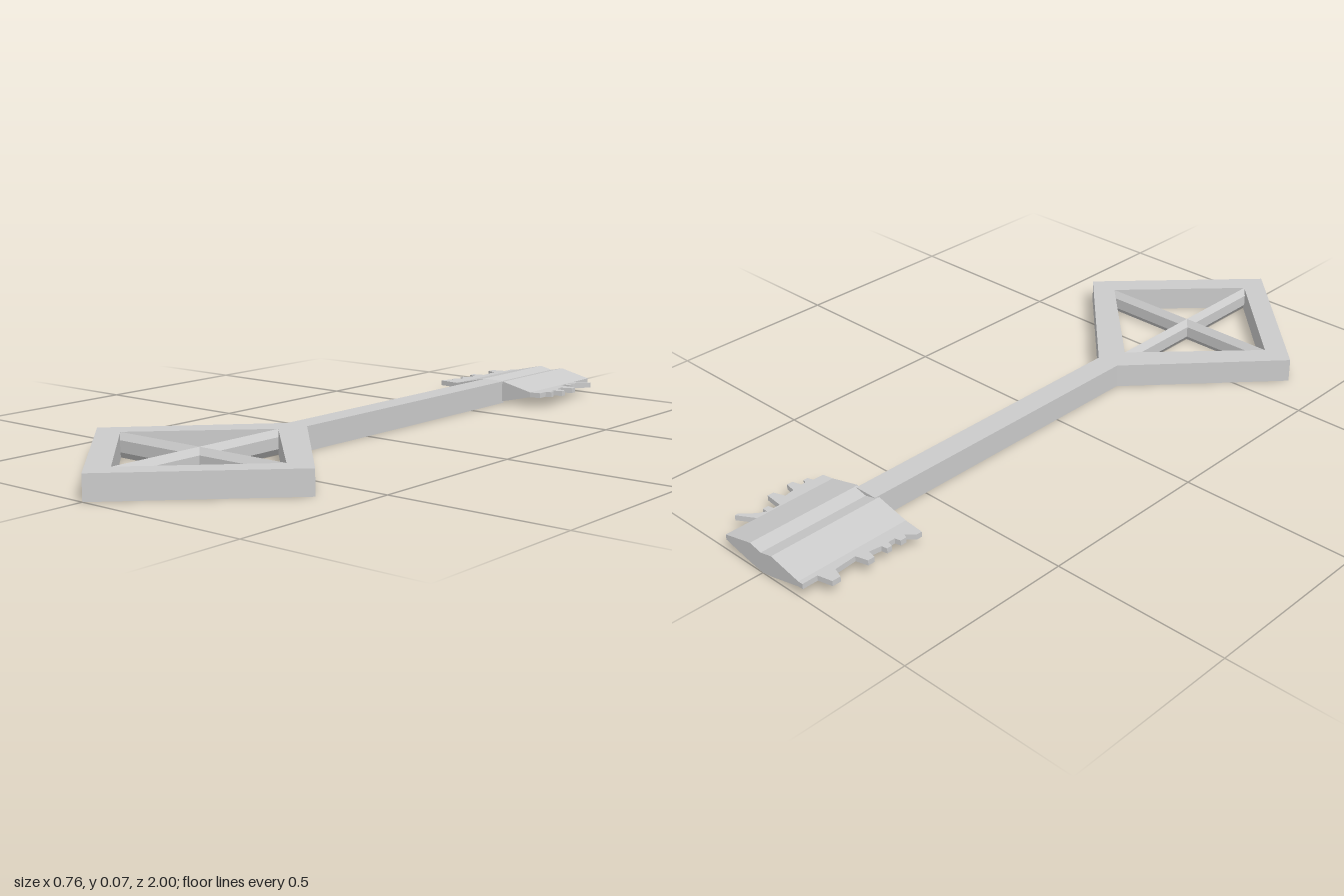
import * as THREE from 'three';

const H = 0.068; // overall thickness
const CZ = 0.62; // centre of the diamond handle
const material = new THREE.MeshStandardMaterial({ color: 0xcccccc, flatShading: true });

const shapeOf = (pts) => new THREE.Shape(pts.map(([x, z]) => new THREE.Vector2(x, z)));

// Extrude an x-z outline so that it lies flat from y = 0 to y = height
function slab(shape, height) {
  const g = new THREE.ExtrudeGeometry(shape, { depth: height, bevelEnabled: false });
  g.rotateX(Math.PI / 2);
  g.translate(0, height, 0);
  return g;
}

function add(group, name, geometry) {
  const mesh = new THREE.Mesh(geometry, material);
  mesh.name = name;
  group.add(mesh);
  return mesh;
}

// Blade cross-section: [distance from the middle, underside y, top y]
const SECTION = [[0, 0, 0.059], [0.04, 0.007, H], [0.138, 0.03, 0.045], [0.25, 0.03, 0.045]];

function sectionAt(x) {
  const d = Math.abs(x);
  let i = 0;
  while (i < SECTION.length - 2 && d > SECTION[i + 1][0]) i++;
  const [a, b] = [SECTION[i], SECTION[i + 1]];
  const t = (d - a[0]) / (b[0] - a[0]);
  return [a[1] + (b[1] - a[1]) * t, a[2] + (b[2] - a[2]) * t];
}

// Fit a unit-high slab to the blade's cross-section
function bladeStrip(pts) {
  const g = slab(shapeOf(pts), 1);
  const p = g.attributes.position;
  for (let i = 0; i < p.count; i++) {
    const [low, high] = sectionAt(p.getX(i));
    p.setY(i, low + (high - low) * p.getY(i));
  }
  g.computeVertexNormals();
  return g;
}

export function createModel() {
  const key = new THREE.Group();
  key.name = 'key';

  // Shaft and diamond frame in one outline with a diamond hole
  const outline = shapeOf([
    [-0.035, -0.67], [0.035, -0.67], [0.035, 0.255], [0.38, CZ], [0, 1], [-0.38, CZ], [-0.035, 0.255],
  ]);
  const r = 0.29;
  outline.holes.push(new THREE.Path(
    [[0, CZ - r], [-r, CZ], [0, CZ + r], [r, CZ]].map(([x, z]) => new THREE.Vector2(x, z))));
  add(key, 'shaftAndHandleFrame', slab(outline, H));

  // Crossed ridged bars inside the frame
  const w = 0.014, s = 0.018;
  const barSection = shapeOf([[-w, s], [0, 0], [w, s], [w, H - s], [0, H], [-w, H - s]]);
  for (const [name, angle] of [['lengthwiseBar', 0], ['crosswiseBar', Math.PI / 2]]) {
    const g = new THREE.ExtrudeGeometry(barSection, { depth: 2 * r + 0.01, bevelEnabled: false });
    g.translate(0, 0, -r - 0.005);
    const bar = add(key, name, g);
    bar.rotation.y = angle;
    bar.position.z = CZ;
  }

  // Blade: grooved middle, sloping flanks and thin toothed edges
  const blade = new THREE.Group();
  blade.name = 'blade';
  key.add(blade);
  const strips = [['grooveSide', 0, 0.04], ['flank', 0.04, 0.138]];
  for (const side of [-1, 1]) {
    const label = side > 0 ? 'left' : 'right';
    for (const [name, a, b] of strips) {
      add(blade, `${label} ${name}`, bladeStrip(
        [[side * a, -1], [side * b, -1], [side * b, -0.662], [side * a, -0.66]]));
    }
  }

  // Irregular teeth, different on each edge
  const rightTeeth = [
    [-0.138, -1], [-0.153, -1], [-0.153, -0.955], [-0.195, -0.945], [-0.195, -0.92], [-0.165, -0.91],
    [-0.16, -0.845], [-0.195, -0.835], [-0.195, -0.815], [-0.17, -0.81], [-0.175, -0.775],
    [-0.192, -0.772], [-0.192, -0.757], [-0.175, -0.753], [-0.175, -0.732], [-0.192, -0.728],
    [-0.192, -0.71], [-0.18, -0.705], [-0.202, -0.685], [-0.202, -0.668], [-0.138, -0.662],
  ];
  const leftTeeth = [
    [0.138, -0.905], [0.188, -0.935], [0.188, -0.925], [0.155, -0.892], [0.143, -0.87], [0.16, -0.87],
    [0.16, -0.853], [0.143, -0.85], [0.143, -0.83], [0.198, -0.825], [0.198, -0.807], [0.165, -0.795],
    [0.17, -0.765], [0.202, -0.76], [0.202, -0.743], [0.175, -0.735], [0.175, -0.722], [0.187, -0.718],
    [0.187, -0.705], [0.17, -0.7], [0.17, -0.668], [0.138, -0.662],
  ];
  add(blade, 'right teeth', bladeStrip(rightTeeth));
  add(blade, 'left teeth', bladeStrip(leftTeeth));

  return key;
}
